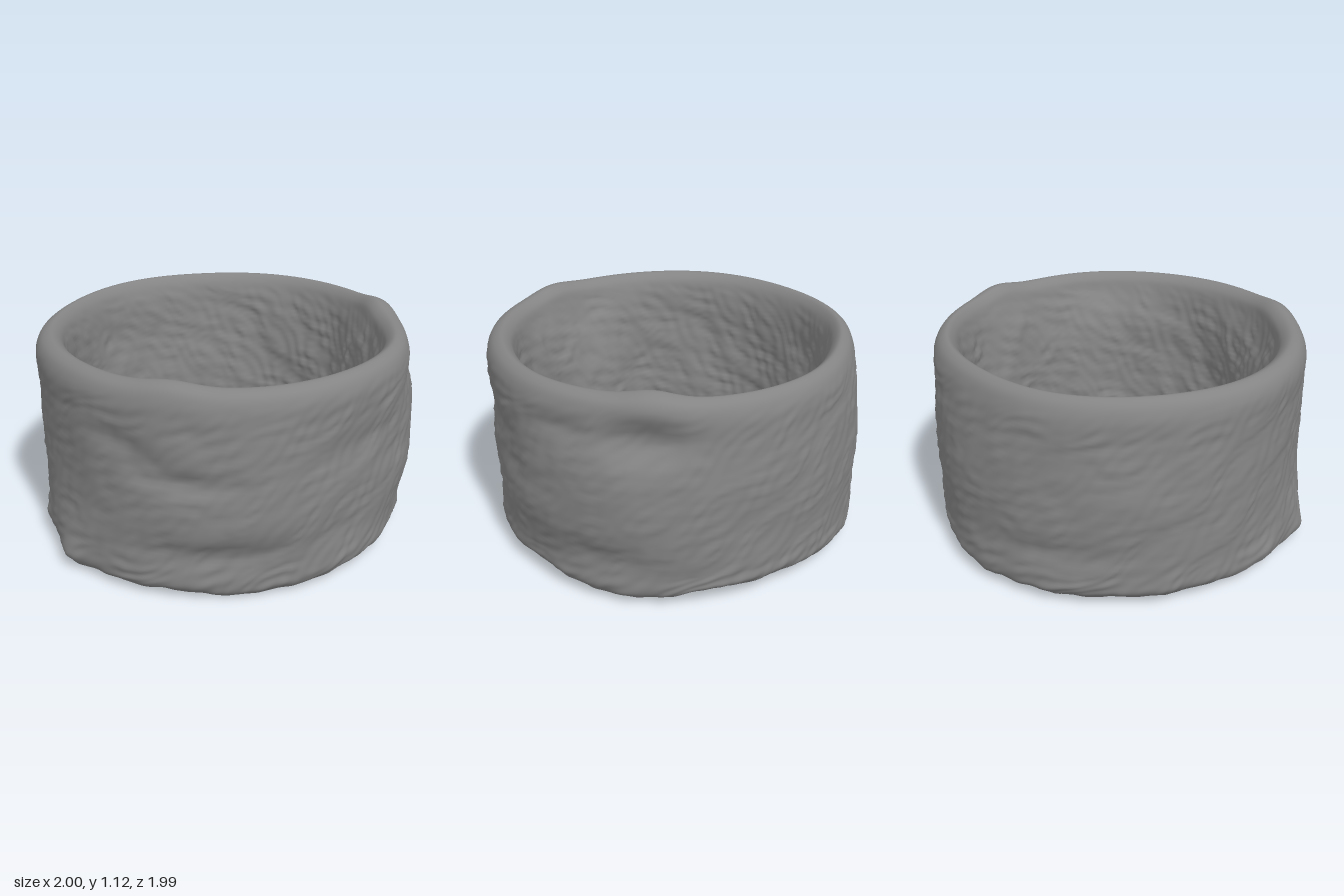
import * as THREE from 'three';

// Smooth periodic lookup: evenly spaced values around the ring, from +x towards +z
function around(values) {
  const n = values.length;
  return (a) => {
    const t = (a / (2 * Math.PI)) * n;
    const i = Math.floor(t), f = t - i;
    const [p, q, r, s] = [-1, 0, 1, 2].map((k) => values[(i + k + n) % n]);
    return q + 0.5 * f * (r - p + f * (2 * p - 5 * q + 4 * r - s + f * (3 * (q - r) + s - p)));
  };
}

// Radii of the cloth wall, one value every 30 degrees (every 15 for the inside)
const outerTop = around([0.925, 0.94, 0.945, 0.965, 0.97, 0.97, 0.98, 0.955, 0.95, 0.925, 0.935, 0.935]);
const outerMid = around([0.99, 0.975, 0.95, 0.99, 0.995, 0.975, 0.985, 0.98, 0.98, 0.985, 0.965, 0.97]);
const outerLow = around([0.95, 0.93, 0.94, 0.94, 0.975, 1.0, 0.975, 0.97, 0.97, 0.975, 0.95, 0.95]);
const innerTop = around([0.78, 0.81, 0.81, 0.82, 0.82, 0.83, 0.84, 0.83, 0.83, 0.8, 0.815, 0.81]);
const innerMid = around([
  0.71, 0.725, 0.69, 0.735, 0.765, 0.785, 0.77, 0.74, 0.71, 0.69, 0.79, 0.815,
  0.805, 0.8, 0.805, 0.78, 0.785, 0.765, 0.755, 0.755, 0.76, 0.755, 0.74, 0.7,
]);
// Height of the bottom hem
const hem = around([0.035, 0.055, 0.045, 0.015, 0.035, 0.02, 0.035, 0.045, 0.04, 0.035, 0.07, 0.085]);

const deg = Math.PI / 180;
const bump = (a, y, a0, y0, wa, wy) => {
  const d = Math.atan2(Math.sin(a - a0 * deg), Math.cos(a - a0 * deg)) / (wa * deg);
  const e = (y - y0) / wy;
  return Math.exp(-d * d - e * e);
};

// Large folds and dents in the outside: [angle, height, angular width, height width, depth]
const folds = [
  [-8, 0.9, 12, 0.1, -0.055], [-8, 1.07, 14, 0.07, 0.015],
  [131, 0.82, 8, 0.05, -0.025], [112, 0.66, 12, 0.05, -0.03], [122, 0.74, 9, 0.06, -0.02],
  [55, 0.74, 20, 0.08, -0.02], [105, 0.27, 20, 0.06, -0.025],
  [18, 0.92, 12, 0.06, -0.02], [40, 0.6, 12, 0.06, -0.015], [65, 0.3, 14, 0.08, -0.012],
  [5, 0.28, 14, 0.07, -0.02], [-40, 0.4, 16, 0.12, -0.01], [240, 0.3, 22, 0.06, -0.015],
  [215, 0.6, 16, 0.14, 0.012], [150, 0.08, 6, 0.09, 0.035], [174, 0.14, 7, 0.06, 0.02],
];

// Fine broken wrinkles in the cloth
function wrinkle(a, y) {
  const warp = Math.sin(3 * a + 5 * y) + Math.sin(7 * a - 9 * y + 1) + 0.6 * Math.sin(13 * a + 16 * y + 2);
  const patch = Math.sin(4 * a + 5 * y + warp) * Math.sin(11 * a - 8 * y + 2 * warp);
  return 0.0045 * patch * Math.sin(26 * a + 78 * y + 2.5 * warp)
    + 0.0015 * Math.sin(47 * a + 45 * y - 3 * warp)
    + 0.003 * Math.sin(9 * a + 9 * y + 1.5 * warp);
}

// Closed wall section at one angle: up the outside, over the rim, down the inside
function section(a) {
  const ot = outerTop(a), om = outerMid(a), ol = outerLow(a);
  const it = innerTop(a), im = innerMid(a);
  const top = 1.105 + 0.03 * bump(a, 0, -9, 0, 9, 1) + 0.025 * bump(a, 0, 116, 0, 10, 1);
  const low = hem(a) + 0.004 * Math.sin(13 * a + 1);
  const rim = (ot + it) / 2;
  // The lining hangs straighter on one side and slopes in sooner on the other
  const hang = 0.5 + 0.25 * Math.cos(a - 225 * deg);
  return new THREE.CatmullRomCurve3([
    [ol - 0.06, low], [ol, low + 0.05], [ol + 0.006, 0.2], [om, 0.42], [om, 0.65],
    [(om + ot) / 2 + 0.005, 0.88], [ot + 0.01, top - 0.08], [ot - 0.02, top - 0.02],
    [rim, top], [it + 0.025, top - 0.03], [it, top - 0.1],
    [im + (it - im) * hang, 0.82], [im + 0.01, 0.6], [im, 0.38], [im + 0.02, 0.18],
    [ol - 0.14, low + 0.04],
  ].map(([r, y]) => new THREE.Vector3(r, y, 0)), true, 'centripetal');
}

export function createModel() {
  const group = new THREE.Group();
  const sides = 420, along = 160;
  const positions = [], index = [];

  for (let i = 0; i < sides; i++) {
    const a = (i / sides) * 2 * Math.PI;
    const curve = section(a);
    const middle = (outerTop(a) + innerTop(a)) / 2;
    for (let j = 0; j < along; j++) {
      const p = curve.getPoint(j / along);
      // Keep the top rim smooth, wrinkle the walls
      const calm = THREE.MathUtils.smoothstep(1.09 - p.y, 0, 0.2);
      const fade = Math.min(1, Math.abs(p.x - middle) / 0.05);
      let r = p.x;
      if (p.x > middle) {
        for (const [a0, y0, wa, wy, d] of folds) r += fade * d * bump(a, p.y, a0, y0, wa, wy);
        r += wrinkle(a, p.y) * calm * fade;
      } else {
        r += fade * calm * (1.8 * wrinkle(a + 2, p.y) + 0.006 * Math.sin(7 * a + 6 * p.y));
      }
      const y = p.y + 0.003 * Math.sin(31 * a) * THREE.MathUtils.smoothstep(0.15 - p.y, 0, 0.1);
      positions.push(r * Math.cos(a), y, r * Math.sin(a));

      const i2 = (i + 1) % sides, j2 = (j + 1) % along;
      const A = i * along + j, B = i * along + j2, C = i2 * along + j, D = i2 * along + j2;
      index.push(A, B, C, B, D, C);
    }
  }

  const geometry = new THREE.BufferGeometry();
  geometry.setAttribute('position', new THREE.Float32BufferAttribute(positions, 3));
  geometry.setIndex(index);
  geometry.computeVertexNormals();

  const band = new THREE.Mesh(geometry, new THREE.MeshStandardMaterial({ color: 0x848484 }));
  band.name = 'clothBand';
  group.add(band);
  return group;
}
